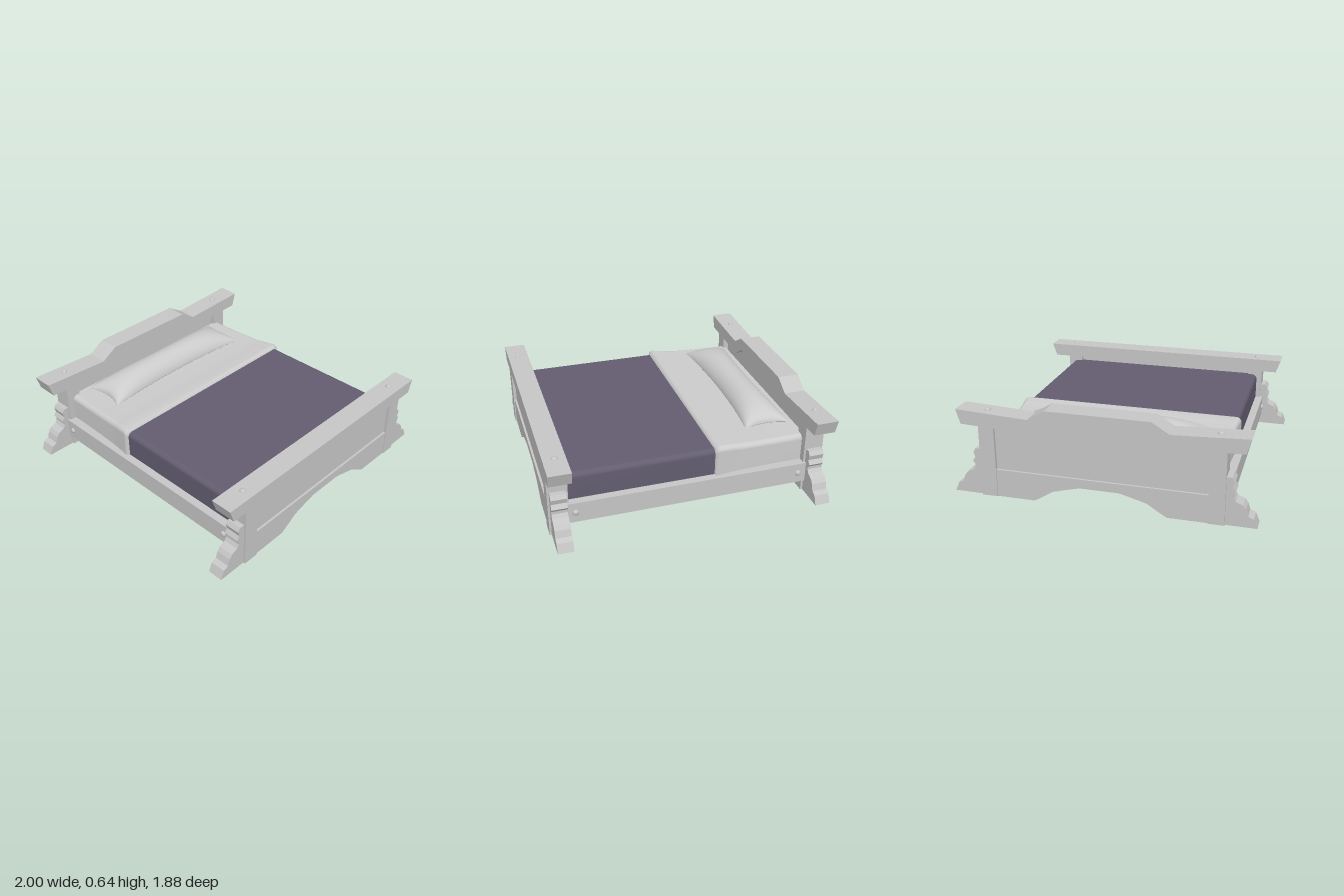
import * as THREE from 'three';

const wood = new THREE.MeshStandardMaterial({ color: 0xc6c6c6 });
wood.name = 'pale wood';
const linen = new THREE.MeshStandardMaterial({ color: 0xcccccc, side: THREE.DoubleSide });
linen.name = 'linen';
const wool = new THREE.MeshStandardMaterial({ color: 0x635d70, side: THREE.DoubleSide });
wool.name = 'purple wool';

function add(parent, name, geometry, material, x = 0, y = 0, z = 0) {
  const mesh = new THREE.Mesh(geometry, material);
  mesh.name = name;
  mesh.position.set(x, y, z);
  parent.add(mesh);
  return mesh;
}

// Box given by its limits
function block(parent, name, x0, x1, y0, y1, z0, z1) {
  return add(parent, name, new THREE.BoxGeometry(x1 - x0, y1 - y0, z1 - z0), wood,
    (x0 + x1) / 2, (y0 + y1) / 2, (z0 + z1) / 2);
}

// Flat outline in x and y, extruded from z0 to z1
function board(parent, name, points, z0, z1) {
  const shape = new THREE.Shape(points.map(([x, y]) => new THREE.Vector2(x, y)));
  const geometry = new THREE.ExtrudeGeometry(shape, { depth: z1 - z0, bevelEnabled: false });
  return add(parent, name, geometry, wood, 0, 0, z0);
}

// Right half of an outline, completed by its mirror image
const mirrored = (half) => [...half, ...half.map(([x, y]) => [-x, y]).reverse()];

// Rounded peg head
function peg(parent, name, x, y, z, turn = 0) {
  const geometry = new THREE.SphereGeometry(0.021, 14, 6, 0, Math.PI * 2, 0, Math.PI / 2);
  geometry.scale(1, 0.75, 1);
  add(parent, name, geometry, wood, x, y, z).rotation.z = turn;
}

// Open-bottomed cover lofted through stations of [z, half width, top height]
function cover(parent, name, stations, material) {
  const positions = [], indices = [], r = 0.035, bottom = 0.205, half = 7;
  for (const [z, w, top] of stations) {
    const side = [[w, bottom]];
    for (let i = 0; i < half - 1; i++) {
      const a = (i / (half - 2)) * Math.PI / 2;
      side.push([w - r + r * Math.cos(a), top - r + r * Math.sin(a)]);
    }
    for (const [x, y] of mirrored(side)) positions.push(x, y, z);
  }
  const n = half * 2;
  for (let j = 0; j < stations.length - 1; j++) {
    for (let i = 0; i < n - 1; i++) {
      const a = j * n + i, b = a + 1, c = a + n, d = c + 1;
      indices.push(a, c, b, b, c, d);
    }
  }
  const geometry = new THREE.BufferGeometry();
  geometry.setAttribute('position', new THREE.Float32BufferAttribute(positions, 3));
  geometry.setIndex(indices);
  // Stations run from back to front, so flip to face outwards
  if (stations[0][0] < stations[1][0]) {
    for (let i = 0; i < indices.length; i += 3) {
      geometry.index.setX(i + 1, indices[i + 2]);
      geometry.index.setX(i + 2, indices[i + 1]);
    }
  }
  geometry.computeVertexNormals();
  add(parent, name, geometry, material);
}

// Pillow skin: a grid puffed up in the middle and pinched out to its corners
function pillowSkin(rise, up) {
  const geometry = new THREE.PlaneGeometry(2, 2, 40, 20);
  geometry.rotateX(up ? -Math.PI / 2 : Math.PI / 2);
  const p = geometry.attributes.position;
  for (let i = 0; i < p.count; i++) {
    const u = Math.sin(p.getX(i) * Math.PI / 2), v = Math.sin(p.getZ(i) * Math.PI / 2);
    const puff = Math.pow(Math.max(0, 1 - u ** 4), 0.5) * Math.pow(Math.max(0, 1 - v * v), 0.6);
    p.setXYZ(i,
      0.62 * u * (1 - 0.06 * (1 - v * v)),
      rise * puff,
      0.16 * v * (1 - 0.23 * (1 - u * u)));
  }
  geometry.computeVertexNormals();
  return geometry;
}

// Scrolled foot bracket outline
const bracket = [[0.79, 0], [1, 0], [0.975, 0.06], [0.94, 0.075], [0.925, 0.12], [0.905, 0.147],
  [0.86, 0.165], [0.845, 0.19], [0.845, 0.21], [0.86, 0.23], [0.842, 0.26], [0.852, 0.295],
  [0.835, 0.322], [0.79, 0.322]];

// Arched lower board outline
const apron = mirrored([[0.79, 0.19], [0.79, 0], [0.44, 0], [0.4, 0.022], [0.31, 0.08],
  [0.23, 0.102], [0.13, 0.128]]);

// Posts, brackets and apron shared by both ends; s is +1 at the foot, -1 at the head
function endFrame(parent, s, postTop) {
  const span = (a, b) => (s > 0 ? [a, b] : [-b, -a]);
  for (const m of [1, -1]) {
    const [x0, x1] = m > 0 ? [0.695, 0.8] : [-0.8, -0.695];
    block(parent, 'post', x0, x1, 0, postTop, ...span(0.8, 0.932));
    const outline = bracket.map(([x, y]) => [x * m, y]);
    board(parent, 'footBracket', outline, ...span(0.815, 0.918));
  }
  board(parent, 'archedApron', apron, ...span(0.82, 0.925));
}

export function createModel() {
  const bed = new THREE.Group();
  bed.name = 'bed';

  // Footboard
  const foot = new THREE.Group();
  foot.name = 'footboard';
  bed.add(foot);
  endFrame(foot, 1, 0.46);
  block(foot, 'footPanel', -0.7, 0.7, 0.17, 0.46, 0.84, 0.91);
  board(foot, 'footTopRail', mirrored([[0.942, 0.533], [0.91, 0.44]]), 0.79, 0.937);

  // Headboard with a raised centre
  const head = new THREE.Group();
  head.name = 'headboard';
  bed.add(head);
  endFrame(head, -1, 0.5);
  board(head, 'headPanel', mirrored([[0.34, 0.58], [0.46, 0.5], [0.7, 0.5], [0.7, 0.17]]), -0.91, -0.84);
  const crest = [[0.34, 0.638], [0.455, 0.568], [0.942, 0.592],
    [0.912, 0.495], [0.43, 0.478], [0.32, 0.55]];
  board(head, 'headTopRail', mirrored(crest), -0.945, -0.797);

  // Side rails and pegs
  for (const m of [1, -1]) {
    const [x0, x1] = m > 0 ? [0.755, 0.816] : [-0.816, -0.755];
    block(bed, 'sideRail', x0, x1, 0.08, 0.222, -0.82, 0.82);
    for (const z of [0.76, -0.76]) peg(bed, 'railPeg', m * 0.816, 0.153, z, -m * Math.PI / 2);
    peg(foot, 'footRailPeg', m * 0.755, 0.531, 0.862);
    peg(head, 'headRailPeg', m * 0.75, 0.581, -0.875);
  }

  // Bedding
  cover(bed, 'blanket', [[-0.2, 0.762, 0.405], [0.82, 0.762, 0.405]], wool);
  cover(bed, 'sheet', [[-0.82, 0.752, 0.405], [-0.6, 0.756, 0.405], [-0.38, 0.764, 0.411],
    [-0.3, 0.77, 0.42], [-0.21, 0.782, 0.43], [-0.19, 0.782, 0.424], [-0.18, 0.764, 0.406]], linen);

  // Pillow
  const pillow = new THREE.Group();
  pillow.name = 'pillow';
  pillow.position.set(-0.01, 0.432, -0.612);
  bed.add(pillow);
  add(pillow, 'pillowTop', pillowSkin(0.11, true), linen);
  add(pillow, 'pillowUnderside', pillowSkin(-0.03, false), linen);

  return bed;
}
